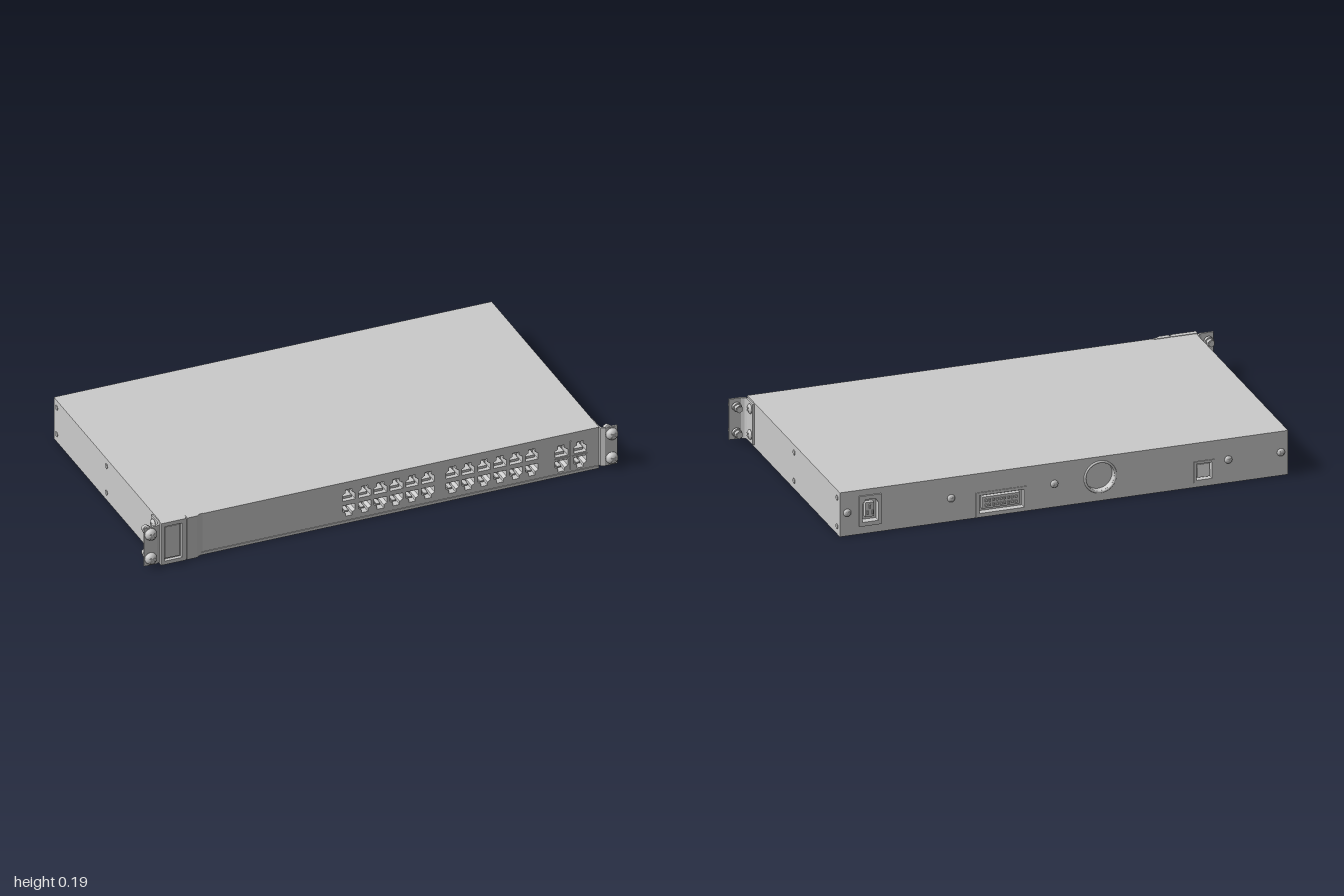
import * as THREE from 'three';

const W = 0.925, H = 0.185;
const grey = new THREE.MeshStandardMaterial({ color: 0xcccccc });

function add(parent, name, geo, x = 0, y = 0, z = 0) {
  const m = new THREE.Mesh(geo, grey);
  m.name = name;
  m.position.set(x, y, z);
  parent.add(m);
  return m;
}

// Box given by its limits
function block(parent, name, x0, x1, y0, y1, z0, z1) {
  return add(parent, name, new THREE.BoxGeometry(x1 - x0, y1 - y0, z1 - z0),
    (x0 + x1) / 2, (y0 + y1) / 2, (z0 + z1) / 2);
}

const poly = (pts) => new THREE.Shape(pts.map(([x, y]) => new THREE.Vector2(x, y)));
const rect = (x0, x1, y0, y1) => poly([[x0, y0], [x1, y0], [x1, y1], [x0, y1]]);
function disc(x, y, r) {
  const s = new THREE.Shape();
  s.absarc(x, y, r, 0, Math.PI * 2);
  return s;
}

// Flat plate facing z with cut-outs
function plate(parent, name, shape, holes, z0, z1) {
  shape.holes = holes;
  const geo = new THREE.ExtrudeGeometry(shape, { depth: z1 - z0, bevelEnabled: false, curveSegments: 14 });
  return add(parent, name, geo, 0, 0, z0);
}

// Stepped jack opening; dir = 1 puts the latch notch on top, -1 below
const jackShape = (x, y, dir) => poly([[-0.027, -0.024], [0.027, -0.024], [0.027, 0.003],
  [0.014, 0.011], [0.014, 0.025], [-0.014, 0.025], [-0.014, 0.011], [-0.027, 0.003]]
  .map(([a, b]) => [x + a, y + b * dir]));

// Domed screw along +z with a crossed slot
function screw(r, h, shaft = 0) {
  const g = new THREE.Group();
  g.name = 'screw';
  const pts = [[0, h], [r * 0.55, h * 0.92], [r * 0.9, h * 0.6], [r, h * 0.2], [r, 0], [0, 0]];
  const head = new THREE.LatheGeometry(pts.reverse().map(([a, b]) => new THREE.Vector2(a, b)), 16);
  add(g, 'screwHead', head.rotateX(Math.PI / 2));
  for (const t of [Math.PI / 4, -Math.PI / 4])
    add(g, 'screwCross', new THREE.BoxGeometry(r * 1.1, r * 0.22, h * 0.1), 0, 0, h).rotation.z = t;
  if (shaft) {
    const cyl = (rad, len, n) => new THREE.CylinderGeometry(rad, rad, len, n).rotateX(Math.PI / 2);
    add(g, 'screwShaft', cyl(r * 0.42, shaft, 12), 0, 0, -shaft / 2);
    add(g, 'screwCollar', cyl(r * 0.75, 0.014, 16), 0, 0, -0.026);
    add(g, 'screwNut', cyl(r * 0.62, 0.018, 6), 0, 0, -shaft + 0.011);
  }
  return g;
}

function place(parent, obj, x, y, z, ry = 0) {
  obj.position.set(x, y, z);
  obj.rotation.y = ry;
  parent.add(obj);
}

export function createModel() {
  const root = new THREE.Group();
  root.name = 'rackNetworkUnit';

  // Chassis core and bottom plate with round foot recesses
  block(root, 'chassis', -W, W, 0.007, H, -0.51, 0.455);
  const feet = [];
  for (const x of [-0.765, 0, 0.765]) for (const z of [-0.4, 0.31]) feet.push(disc(x, z, 0.048));
  const bottom = plate(root, 'bottomPlate', rect(-W, W, -0.51, 0.455), feet, 0, 0.007);
  bottom.rotation.x = Math.PI / 2;
  bottom.position.y = 0.007;

  // Front panel with two banks of jacks and a block of four
  const jacks = [];
  for (const start of [-0.131, 0.307]) for (let i = 0; i < 6; i++) {
    jacks.push([start + i * 0.067, 0.124, 1], [start + i * 0.067, 0.056, -1]);
  }
  for (const x of [0.767, 0.847]) jacks.push([x, 0.112, 1], [x, 0.046, -1]);
  plate(root, 'frontPanel', rect(-W, W, 0, H), jacks.map((j) => jackShape(...j)), 0.455, 0.512);
  for (const [x, y, d] of jacks) {
    const yc = y - d * 0.018;
    block(root, 'jackContacts', x - 0.018, x + 0.018, yc - 0.005, yc + 0.005, 0.455, 0.495);
    block(root, 'jackTongue', x - 0.008, x + 0.008, y + d * 0.016 - 0.003, y + d * 0.016 + 0.003, 0.455, 0.49);
  }
  block(root, 'portDivider', 0.804, 0.81, 0.022, 0.148, 0.51, 0.515);
  block(root, 'portDivider', 0.737, 0.877, 0.077, 0.081, 0.51, 0.515);
  block(root, 'bottomLip', -0.76, W, 0, 0.012, 0.51, 0.515);
  block(root, 'topLip', -0.76, W, H - 0.006, H, 0.51, 0.515);

  // Raised bezel at the model's right end, with window and sloped edge
  plate(root, 'bezel', rect(-0.93, -0.824, 0, 0.187), [rect(-0.917, -0.842, 0.016, 0.17)], 0.505, 0.527);
  block(root, 'bezelWindow', -0.91, -0.849, 0.023, 0.163, 0.505, 0.519);
  const slope = poly([[-0.819, -0.505], [-0.75, -0.505], [-0.75, -0.514], [-0.765, -0.517],
    [-0.778, -0.526], [-0.819, -0.527]]);
  const edge = plate(root, 'bezelSlope', slope, [], 0, 0.187);
  edge.rotation.x = -Math.PI / 2;

  // Rear panel cut-outs: power inlet, data connector, round port, small switch
  const inlet = poly([[0.767, 0.05], [0.833, 0.05], [0.833, 0.125], [0.82, 0.144], [0.78, 0.144], [0.767, 0.125]]);
  const outer = [inlet, rect(0.165, 0.35, 0.018, 0.093), disc(-0.15, 0.1, 0.058), rect(-0.61, -0.545, 0.03, 0.098)];
  plate(root, 'rearPanel', rect(-W, W, 0, H), outer, -0.535, -0.51);
  plate(root, 'inletFrame', rect(0.755, 0.845, 0.033, 0.16), [inlet.clone()], -0.541, -0.534);
  block(root, 'inletCore', 0.782, 0.818, 0.066, 0.126, -0.53, -0.51);
  for (const [x, y] of [[0.79, 0.085], [0.81, 0.085], [0.8, 0.11]])
    block(root, 'inletPin', x - 0.003, x + 0.003, y - 0.008, y + 0.008, -0.537, -0.528);
  plate(root, 'connectorFrame', rect(0.15, 0.365, 0.006, 0.105), [rect(0.165, 0.35, 0.018, 0.093)], -0.538, -0.534);
  block(root, 'connectorBody', 0.18, 0.335, 0.032, 0.08, -0.528, -0.51);
  for (let i = 0; i < 9; i++) for (const y of [0.046, 0.066]) {
    const x = 0.196 + i * 0.0155;
    block(root, 'connectorPin', x - 0.004, x + 0.004, y - 0.005, y + 0.005, -0.534, -0.526);
  }
  add(root, 'roundPortRing', new THREE.TorusGeometry(0.063, 0.005, 8, 32), -0.15, 0.1, -0.535);
  plate(root, 'switchFrame', rect(-0.62, -0.535, 0.02, 0.108), [rect(-0.61, -0.545, 0.03, 0.098)], -0.539, -0.534);
  const rocker = block(root, 'rockerSwitch', -0.603, -0.552, 0.038, 0.09, -0.532, -0.514);
  rocker.rotation.x = 0.15;

  // Rear screws
  for (const x of [-0.895, -0.678, 0.04, 0.466, 0.895])
    place(root, screw(0.016, 0.011), x, 0.098, -0.535, Math.PI);

  // Side fasteners and mirrored rack ears
  for (const s of [-1, 1]) {
    const side = new THREE.Group();
    side.name = s > 0 ? 'leftSide' : 'rightSide';
    root.add(side);
    for (const z of [-0.018, -0.505]) for (const y of [0.153, 0.034]) {
      const stud = new THREE.CylinderGeometry(0.011, 0.011, 0.006, 6).rotateZ(Math.PI / 2);
      add(side, 'hexRivet', stud, s * W, y, z);
    }
    // L-shaped bracket with a rounded bend, swept upward
    const L = [[0.925, 0.434], [0.932, 0.434], [0.932, 0.497], [0.938, 0.508], [0.95, 0.514], [1, 0.514],
      [1, 0.522], [0.946, 0.522], [0.932, 0.515], [0.925, 0.5]].map(([x, z]) => [s * x, -z]);
    const ear = plate(side, 'rackEar', poly(L), [], 0, 0.17);
    ear.rotation.x = -Math.PI / 2;
    ear.position.y = 0.009;
    for (const y of [0.15, 0.042]) {
      place(side, screw(0.025, 0.025, 0.055), s * 0.974, y, 0.522);
      place(side, screw(0.02, 0.012), s * 0.932, y + 0.002, 0.459, s * Math.PI / 2);
    }
  }
  return root;
}
